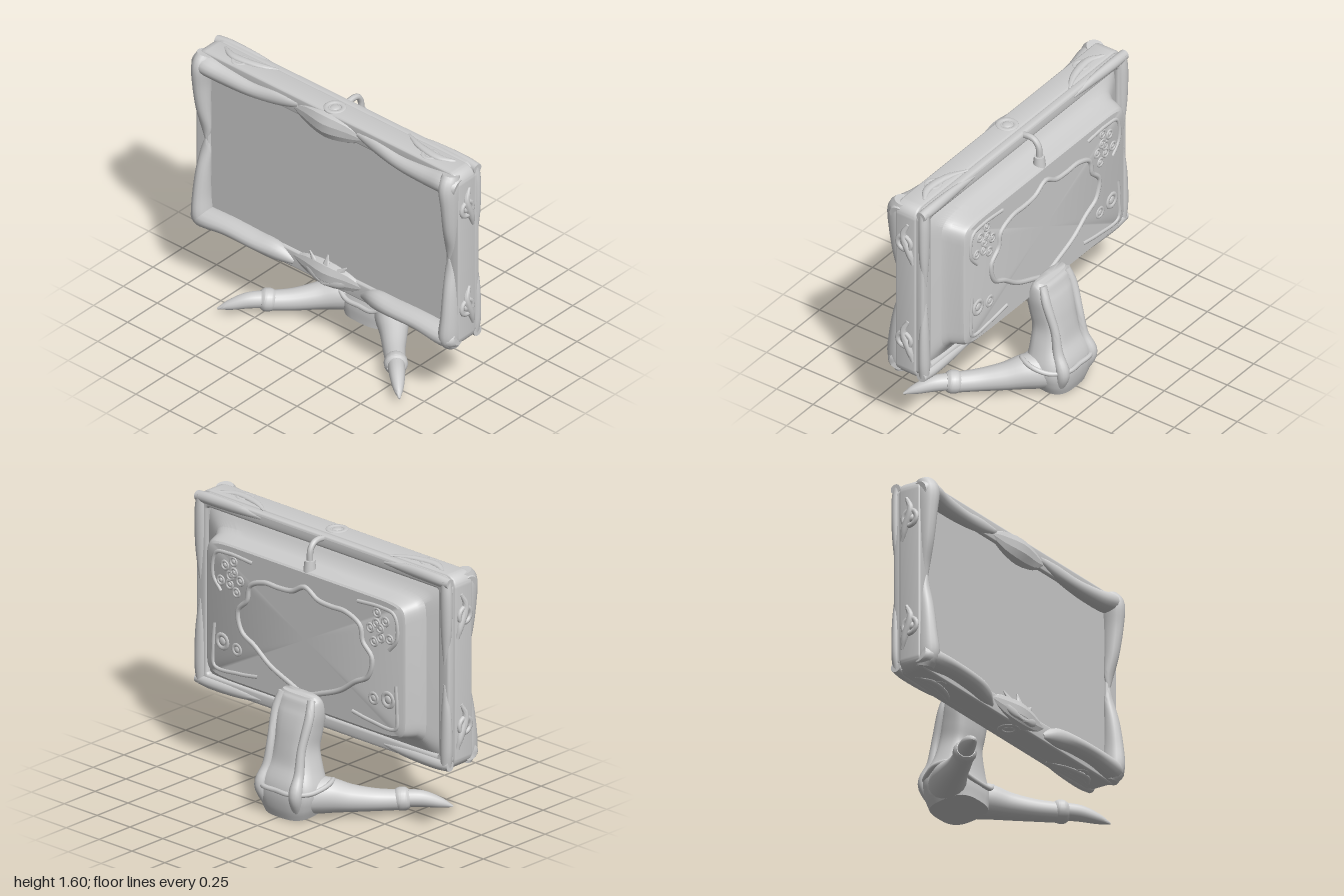
import * as THREE from 'three';
import { toCreasedNormals } from 'three/addons/utils/BufferGeometryUtils.js';

const grey = new THREE.MeshStandardMaterial({ color: 0xcccccc });
grey.name = 'stone grey';

// Sweeps a (super)ellipse along points [x, y, z, a, b]; a is the radius toward ref, b across it.
function sweep(pts, ref, { steps = 5, sides = 16, n = 2, crease = 0.8 } = {}) {
  const path = new THREE.CatmullRomCurve3(pts.map(p => new THREE.Vector3(p[0], p[1], p[2])), false, 'catmullrom');
  const radii = new THREE.CatmullRomCurve3(pts.map(p => new THREE.Vector3(p[3], p[4], 0)), false, 'catmullrom');
  const rings = (pts.length - 1) * steps, pos = [], idx = [];
  const bend = v => Math.sign(v) * Math.pow(Math.abs(v), 2 / n);
  for (let i = 0; i <= rings; i++) {
    const c = path.getPoint(i / rings), r = radii.getPoint(i / rings), t = path.getTangent(i / rings);
    const u = new THREE.Vector3(...ref).addScaledVector(t, -t.dot(new THREE.Vector3(...ref))).normalize();
    const v = new THREE.Vector3().crossVectors(t, u);
    for (let j = 0; j < sides; j++) {
      const k = (j / sides) * Math.PI * 2;
      const p = c.clone().addScaledVector(u, Math.max(r.x, 0.002) * bend(Math.cos(k)))
        .addScaledVector(v, Math.max(r.y, 0.002) * bend(Math.sin(k)));
      pos.push(p.x, p.y, p.z);
      const a = i * sides + j, b = i * sides + (j + 1) % sides;
      if (i < rings) idx.push(a, b, a + sides, b, b + sides, a + sides);
    }
  }
  const s = pos.length / 3, first = pts[0], last = pts[pts.length - 1], end = rings * sides;
  pos.push(first[0], first[1], first[2], last[0], last[1], last[2]);
  for (let j = 0; j < sides; j++) {
    const q = (j + 1) % sides;
    idx.push(s, q, j, s + 1, end + j, end + q);
  }
  const g = new THREE.BufferGeometry();
  g.setAttribute('position', new THREE.Float32BufferAttribute(pos, 3));
  g.setIndex(idx);
  return toCreasedNormals(g, crease);
}

function roundedRect(target, hw, hh, r) {
  target.moveTo(-hw + r, -hh);
  target.absarc(hw - r, -hh + r, r, -Math.PI / 2, 0);
  target.absarc(hw - r, hh - r, r, 0, Math.PI / 2);
  target.absarc(-hw + r, hh - r, r, Math.PI / 2, Math.PI);
  target.absarc(-hw + r, -hh + r, r, Math.PI, Math.PI * 1.5);
  return target;
}

const X = [1, 0, 0], Y = [0, 1, 0], Z = [0, 0, 1];
const MID = 0.993;

export function createModel() {
  const model = new THREE.Group();
  const add = (name, geometry, parent = model) => {
    const m = new THREE.Mesh(geometry, grey);
    m.name = name;
    parent.add(m);
    return m;
  };
  const flip = (pts, s) => pts.map(([x, ...rest]) => [x * s, ...rest]);
  const tube = (pts, r, closed = false) => new THREE.TubeGeometry(
    new THREE.CatmullRomCurve3(pts.map(p => new THREE.Vector3(...p)), closed), pts.length * 6, r, 8, closed);

  // Bezel and rear rim
  const ring = (name, hw, hh, iw, ih, z0, z1, bevel) => {
    const shape = roundedRect(new THREE.Shape(), hw - bevel, hh - bevel, 0.06);
    shape.holes.push(roundedRect(new THREE.Path(), iw, ih, 0.03));
    const g = new THREE.ExtrudeGeometry(shape, { depth: z1 - z0 - 2 * bevel, bevelSize: bevel, bevelThickness: bevel, bevelSegments: 3, curveSegments: 8 });
    add(name, toCreasedNormals(g, 0.6)).position.set(0, MID, z0 + bevel);
  };
  ring('bezel', 0.97, 0.58, 0.885, 0.475, 0.07, 0.21, 0.012);
  ring('rearRim', 0.962, 0.575, 0.895, 0.515, 0.025, 0.08, 0.015);
  add('screen', new THREE.BoxGeometry(1.79, 0.97, 0.02)).position.set(0, MID, 0.182);

  // Curved back housing
  const housing = [[0.1, 0.92, 0.53], [0.055, 0.905, 0.52], [0.035, 0.86, 0.485], [0.012, 0.805, 0.445], [-0.02, 0.782, 0.425],
    [-0.085, 0.765, 0.415], [-0.105, 0.755, 0.408], [-0.113, 0.74, 0.398]];
  add('backHousing', sweep(housing.map(([z, w, h]) => [0, 0.985, z, w, h]), X, { steps: 1, sides: 64, n: 14, crease: 0.5 }));

  // Wavy moulding and ornaments on the back
  const half = [[0.1, 1.25], [0.2, 1.24], [0.31, 1.24], [0.42, 1.19], [0.44, 1.1], [0.51, 1.02], [0.48, 0.9],
    [0.38, 0.84], [0.27, 0.76], [0.13, 0.7]];
  const wave = [[0, 1.3], ...half, [0, 0.66], ...half.map(([x, y]) => [-x, y]).reverse()];
  add('wavyMoulding', tube(wave.map(([x, y]) => [x, y, -0.112]), 0.016, true));

  const rosette = (name, p, dir, r) => {
    const g = new THREE.Group();
    g.name = name;
    add('rosetteRing', new THREE.TorusGeometry(r, r * 0.35, 8, 16), g);
    add('rosetteBud', new THREE.SphereGeometry(r * 0.6, 12, 8), g).scale.z = 0.6;
    g.position.set(...p);
    g.quaternion.setFromUnitVectors(new THREE.Vector3(0, 0, 1), new THREE.Vector3(...dir));
    if (dir[2] === 0) g.scale.set(1, 1, 0.9);
    model.add(g);
    return g;
  };

  for (const s of [1, -1]) {
    // Flower clusters, scrolls and corner strips on the back panel
    for (let i = 0; i < 8; i++) {
      const k = i * 2.4, d = 0.038 * Math.sqrt(i);
      rosette('backFlower', [s * (0.57 + d * Math.cos(k)), 1.21 + d * Math.sin(k), -0.112], [0, 0, -1], 0.024).scale.z = 0.8;
    }
    rosette('backScroll', [s * 0.63, 0.8, -0.112], [0, 0, -1], 0.04).scale.z = 0.6;
    rosette('backScroll', [s * 0.52, 0.78, -0.112], [0, 0, -1], 0.03).scale.z = 0.6;
    add('backStrip', tube([[s * 0.4, 1.33, -0.11], [s * 0.58, 1.34, -0.11], [s * 0.68, 1.32, -0.11], [s * 0.7, 1.18, -0.11], [s * 0.64, 1.1, -0.11]], 0.013));
    add('backStrip', tube([[s * 0.36, 0.66, -0.11], [s * 0.5, 0.64, -0.11], [s * 0.69, 0.64, -0.11], [s * 0.7, 0.75, -0.11], [s * 0.69, 0.9, -0.11]], 0.013));

    // Carved front border
    const post = [[0.905, 1.56, 0.2, 0.05, 0.05], [0.91, 1.49, 0.215, 0.056, 0.08], [0.915, 1.36, 0.215, 0.048, 0.07],
      [0.91, 1.2, 0.21, 0.042, 0.05], [0.9, 1.07, 0.2, 0.034, 0.025], [0.895, 0.99, 0.2, 0.015, 0.012]];
    add('upperSideCarving', sweep(flip(post, s), X));
    add('lowerSideCarving', sweep(flip(post.map(([x, y, ...r]) => [x, 1.985 - y, ...r]), s), X));
    add('topCarving', sweep(flip([[0.96, 1.49, 0.2, 0.05, 0.05], [0.89, 1.5, 0.21, 0.06, 0.075], [0.75, 1.485, 0.21, 0.055, 0.06],
      [0.55, 1.48, 0.21, 0.045, 0.045], [0.37, 1.5, 0.205, 0.042, 0.03], [0.22, 1.52, 0.2, 0.02, 0.015]], s), Y));
    add('bottomCarving', sweep(flip([[0.96, 0.49, 0.2, 0.05, 0.05], [0.89, 0.48, 0.215, 0.06, 0.08], [0.7, 0.495, 0.215, 0.05, 0.078],
      [0.5, 0.49, 0.215, 0.05, 0.075], [0.36, 0.48, 0.21, 0.055, 0.055], [0.25, 0.45, 0.2, 0.02, 0.015]], s), Y));

    // Carvings on the ends, top, bottom and back corners
    for (const y of [1.33, 0.67]) {
      rosette('sideRosette', [s * 0.972, y, 0.145], [s, 0, 0], 0.045);
      add('sideLeaf', sweep(flip([[0.968, y - 0.13, 0.09, 0.01, 0.01], [0.972, y - 0.06, 0.11, 0.02, 0.022],
        [0.974, y + 0.05, 0.15, 0.02, 0.02], [0.968, y + 0.13, 0.12, 0.01, 0.01]], s), X));
      const d = Math.sign(y - MID);
      add('backCornerCarving', sweep(flip([[0.93, MID + d * 0.56, 0.04, 0.03, 0.03], [0.935, MID + d * 0.45, 0.035, 0.038, 0.03],
        [0.935, MID + d * 0.25, 0.035, 0.034, 0.025], [0.93, MID + d * 0.06, 0.035, 0.012, 0.012]], s), X));
      add('backEdgeCarving', sweep(flip([[0.96, MID + d * 0.545, 0.04, 0.03, 0.03], [0.85, MID + d * 0.55, 0.035, 0.034, 0.03],
        [0.65, MID + d * 0.55, 0.035, 0.03, 0.022], [0.47, MID + d * 0.545, 0.035, 0.012, 0.012]], s), Y));
      rosette('edgeRosette', [s * 0.7, MID + d * 0.578, 0.145], [0, d, 0], 0.04).scale.z = 0.4;
      add('edgeLeaf', sweep(flip([[0.85, MID + d * 0.575, 0.1, 0.008, 0.01], [0.75, MID + d * 0.58, 0.14, 0.015, 0.025],
        [0.6, MID + d * 0.58, 0.12, 0.014, 0.022], [0.48, MID + d * 0.575, 0.07, 0.006, 0.008]], s), Y));
    }
  }
  rosette('topRosette', [0, 1.57, 0.145], [0, 1, 0], 0.05).scale.z = 0.5;
  rosette('bottomRosette', [0, 0.415, 0.145], [0, -1, 0], 0.05).scale.z = 0.5;

  // Centre crests
  const crest = (name, y, h) => add(name, sweep([[-0.25, y + 0.01, 0.2, 0.015, 0.01], [-0.15, y + 0.005, 0.2, h * 0.75, 0.03], [0, y, 0.2, h, 0.055],
    [0.15, y + 0.005, 0.2, h * 0.75, 0.03], [0.25, y + 0.01, 0.2, 0.015, 0.01]], Y, { steps: 3, sides: 10, crease: 0.3 }));
  crest('topCrest', 1.487, 0.085);
  crest('bottomCrest', 0.487, 0.08);
  for (const a of [-1.15, -0.6, 0, 0.6, 1.15]) {
    const at = (d, ...r) => [Math.sin(a) * d * 1.4, 0.44 + Math.cos(a) * d, 0.245 - d * 0.25, ...r];
    add('crestPetal', sweep([at(0, 0.008, 0.01), at(0.08, 0.016, 0.03), at(0.17, 0.003, 0.004)], Z));
  }

  // Cable and plug
  add('cable', tube([[0, 1.55, 0.04], [0, 1.555, -0.01], [0, 1.545, -0.045], [0, 1.51, -0.07], [0, 1.44, -0.075]], 0.018));
  add('cablePlug', new THREE.CylinderGeometry(0.03, 0.038, 0.07, 16)).position.set(0, 1.415, -0.075);

  // Bent neck and heel
  add('neck', sweep([[0, 0.685, -0.155, 0.12, 0.03], [0, 0.655, -0.15, 0.145, 0.055], [0, 0.58, -0.145, 0.15, 0.085], [0, 0.48, -0.162, 0.137, 0.098],
    [0, 0.38, -0.18, 0.13, 0.1], [0, 0.27, -0.19, 0.16, 0.112], [0, 0.16, -0.205, 0.2, 0.145], [0, 0.08, -0.2, 0.19, 0.15],
    [0, 0.006, -0.19, 0.16, 0.14]], X, { sides: 32, n: 3 }));
  for (const s of [1, -1]) {
    add('neckRidge', sweep(flip([[0.11, 0.67, -0.18, 0.025, 0.02], [0.125, 0.57, -0.215, 0.028, 0.025], [0.115, 0.4, -0.265, 0.025, 0.025],
      [0.12, 0.26, -0.29, 0.03, 0.03], [0.13, 0.15, -0.33, 0.04, 0.04], [0.11, 0.03, -0.29, 0.03, 0.03]], s), X));
    // Clawed toes
    add('toe', sweep(flip([[0.07, 0.11, -0.25, 0.1, 0.1], [0.17, 0.113, -0.14, 0.105, 0.1], [0.27, 0.092, -0.04, 0.08, 0.08],
      [0.37, 0.077, 0.07, 0.064, 0.064], [0.48, 0.075, 0.18, 0.057, 0.057]], s), Y, { sides: 20 }));
    add('toeKnuckle', sweep(flip([[0.445, 0.078, 0.145, 0.055, 0.055], [0.46, 0.08, 0.16, 0.066, 0.066], [0.485, 0.082, 0.185, 0.066, 0.066],
      [0.5, 0.084, 0.2, 0.053, 0.053]], s), Y));
    add('claw', sweep(flip([[0.48, 0.085, 0.18, 0.05, 0.05], [0.55, 0.08, 0.25, 0.047, 0.045], [0.62, 0.055, 0.32, 0.03, 0.03],
      [0.672, 0.032, 0.37, 0.005, 0.005]], s), Y));
  }
  // Raised collar around the ankle
  const collar = [[0.1, 0.14, -0.055], [0.2, 0.2, -0.1], [0.23, 0.19, -0.19], [0.19, 0.16, -0.28], [0.1, 0.155, -0.35]];
  add('ankleCollar', tube([[0, 0.135, -0.055], ...collar, [0, 0.155, -0.352], ...flip(collar, -1).reverse()], 0.015, true));
  return model;
}
